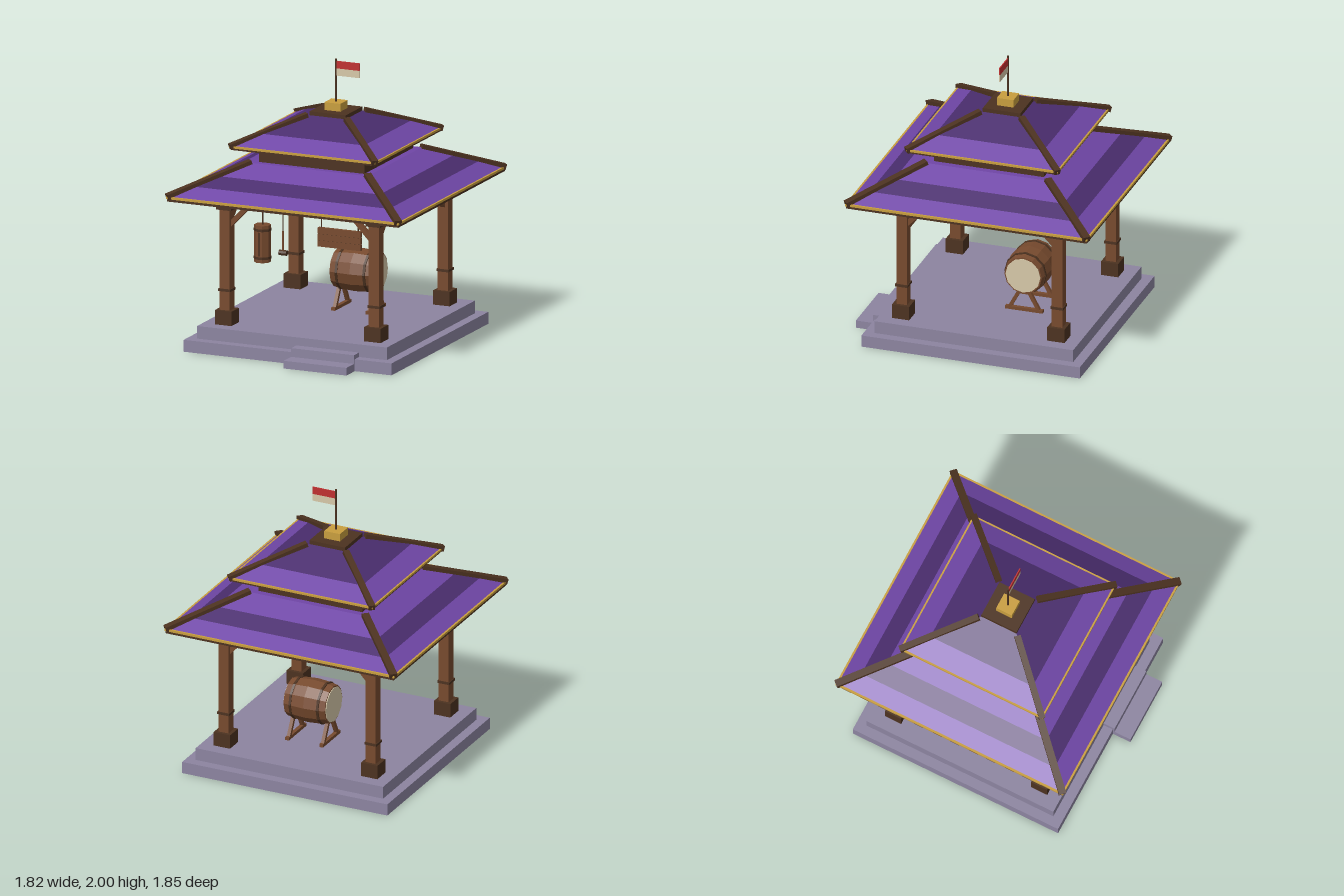
import * as THREE from 'three';

const mat = (name, color, extra = {}) => {
  const m = new THREE.MeshStandardMaterial({ color, ...extra });
  m.name = name;
  return m;
};

export function createModel() {
  const M = {
    stone: mat('stone', 0x8c84a0),
    wood: mat('wood', 0x774a2e),
    dark: mat('darkWood', 0x4c3220),
    light: mat('lightPurpleTiles', 0x6f46a6),
    deep: mat('deepPurpleTiles', 0x4a2d6e),
    gold: mat('gold', 0xc89e3e),
    hide: mat('creamHide', 0xd6c8a8),
    red: mat('red', 0xc03030),
  };
  const root = new THREE.Group();
  root.name = 'pavilion';

  // Helpers
  const add = (name, geo, material, x = 0, y = 0, z = 0, parent = root) => {
    const m = new THREE.Mesh(geo, material);
    m.name = name;
    m.position.set(x, y, z);
    parent.add(m);
    return m;
  };
  // box from centre x/z, bottom y and top y
  const box = (name, material, x, y0, y1, z, w, d, parent = root) =>
    add(name, new THREE.BoxGeometry(w, y1 - y0, d), material, x, (y0 + y1) / 2, z, parent);
  // beam of section w x h between two points
  const strut = (name, material, a, b, w, h, parent = root) => {
    const p = new THREE.Vector3(...a), q = new THREE.Vector3(...b);
    const m = new THREE.Mesh(new THREE.BoxGeometry(w, h, p.distanceTo(q)), material);
    m.name = name;
    m.position.copy(p).add(q).multiplyScalar(0.5);
    m.lookAt(q);
    parent.add(m);
    return m;
  };
  const flat = (geo) => {
    const g = geo.toNonIndexed();
    g.computeVertexNormals();
    return g;
  };
  // square sloped roof band from half-width r0 at y0 to r1 at y1
  const band = (name, material, r0, y0, r1, y1) => {
    const g = new THREE.CylinderGeometry(r1 * Math.SQRT2, r0 * Math.SQRT2, y1 - y0, 4, 1, true);
    g.rotateY(Math.PI / 4);
    add(name, flat(g), material, 0, (y0 + y1) / 2, 0);
  };

  // Platform and steps
  box('lowerPlatform', M.stone, 0, 0, 0.085, 0, 1.59, 1.605);
  box('upperPlatform', M.stone, 0, 0.085, 0.175, 0, 1.452, 1.46);
  box('upperStep', M.stone, 0.274, 0, 0.117, 0.758, 0.48, 0.116);
  box('lowerStep', M.stone, 0.274, 0, 0.055, 0.862, 0.48, 0.156);

  // Columns with feet, rings, capitals and braces
  const P = 0.571;
  for (const sx of [-1, 1]) for (const sz of [-1, 1]) {
    const c = new THREE.Group();
    c.name = 'column';
    root.add(c);
    const x = sx * P, z = sz * P;
    box('columnFoot', M.dark, x, 0.175, 0.277, z, 0.127, 0.127, c);
    box('columnShaft', M.wood, x, 0.277, 1.0, z, 0.078, 0.078, c);
    box('columnRing', M.dark, x, 0.412, 0.43, z, 0.092, 0.092, c);
    box('capital', M.dark, x, 0.997, 1.031, z, 0.112, 0.112, c);
    box('capitalBlock', M.dark, x, 1.031, 1.088, z, 0.1, 0.1, c);
    strut('braceX', M.wood, [x - sx * 0.02, 0.88, z], [x - sx * 0.17, 1.035, z], 0.035, 0.035, c);
    strut('braceZ', M.wood, [x, 0.88, z - sz * 0.02], [x, 1.035, z - sz * 0.17], 0.035, 0.035, c);
  }
  for (const s of [-1, 1]) {
    box('beamX', M.dark, 0, 1.033, 1.086, s * P, 1.276, 0.07);
    box('beamZ', M.dark, s * P, 1.032, 1.085, 0, 0.07, 1.276);
  }

  // Lower roof
  box('lowerSoffit', M.dark, 0, 1.086, 1.104, 0, 1.77, 1.77);
  box('lowerEaveTrim', M.gold, 0, 1.104, 1.12, 0, 1.78, 1.78);
  band('lowerRoofEaveBand', M.light, 0.88, 1.118, 0.755, 1.178);
  band('lowerRoofMiddleBand', M.deep, 0.755, 1.178, 0.622, 1.236);
  band('lowerRoofTopBand', M.light, 0.622, 1.236, 0.45, 1.31);
  box('lowerRoofTop', M.light, 0, 1.3, 1.31, 0, 0.9, 0.9);

  // Clerestory wall
  box('clerestory', M.dark, 0, 1.31, 1.395, 0, 0.806, 0.806);
  box('clerestoryTrim', M.gold, 0, 1.395, 1.408, 0, 0.81, 0.81);
  box('clerestoryTop', M.dark, 0, 1.408, 1.416, 0, 0.79, 0.79);

  // Upper roof
  box('upperSoffit', M.dark, 0, 1.414, 1.428, 0, 1.1, 1.1);
  box('upperEaveTrim', M.gold, 0, 1.428, 1.443, 0, 1.116, 1.116);
  band('upperRoofEaveBand', M.light, 0.55, 1.441, 0.4, 1.513);
  band('upperRoofTopBand', M.deep, 0.4, 1.513, 0.13, 1.615);

  // Hip ridges
  for (const sx of [-1, 1]) for (const sz of [-1, 1]) {
    strut('lowerHipRidge', M.dark, [sx * 0.885, 1.118, sz * 0.885], [sx * 0.445, 1.313, sz * 0.445], 0.052, 0.04);
    strut('upperHipRidge', M.dark, [sx * 0.556, 1.437, sz * 0.556], [sx * 0.15, 1.613, sz * 0.15], 0.045, 0.04);
  }

  // Finial, pole and flag
  box('roofCap', M.dark, 0, 1.608, 1.64, 0, 0.276, 0.276);
  box('finialBlock', M.gold, 0, 1.64, 1.696, 0, 0.122, 0.122);
  add('flagPole', new THREE.CylinderGeometry(0.008, 0.008, 0.304, 8), M.dark, 0, 1.848, 0);
  box('flagUpperHalf', M.red, 0.093, 1.932, 1.985, 0, 0.174, 0.008);
  box('flagLowerHalf', M.hide, 0.093, 1.88, 1.932, 0, 0.174, 0.008);

  // Large barrel drum lying along x
  const drum = new THREE.Group();
  drum.name = 'barrelDrum';
  drum.position.set(0.083, 0.453, -0.195);
  root.add(drum);
  const profile = [[0.138, -0.16], [0.15, -0.09], [0.157, 0], [0.15, 0.09], [0.138, 0.16]]
    .map(([r, h]) => new THREE.Vector2(r, h));
  const shell = new THREE.LatheGeometry([new THREE.Vector2(0, -0.16), ...profile, new THREE.Vector2(0, 0.16)], 12);
  shell.rotateZ(-Math.PI / 2);
  add('drumShell', flat(shell), M.wood, 0, 0, 0, drum);
  for (const s of [-1, 1]) {
    const hoop = new THREE.CylinderGeometry(0.153, 0.153, 0.018, 12).rotateZ(Math.PI / 2);
    add('drumHoop', flat(hoop), M.dark, s * 0.106, 0, 0, drum);
    const head = new THREE.CylinderGeometry(0.128, 0.128, 0.008, 12).rotateZ(Math.PI / 2);
    add('drumHead', flat(head), M.hide, s * 0.161, 0, 0, drum);
    // stand
    box('standFoot', M.wood, s * 0.132, -0.278, -0.255, 0, 0.028, 0.275, drum);
    for (const t of [-1, 1])
      strut('standLeg', M.wood, [s * 0.132, -0.265, t * 0.108], [s * 0.132, -0.12, t * 0.03], 0.025, 0.025, drum);
  }

  // Hanging slit drum
  const slit = new THREE.Group();
  slit.name = 'hangingSlitDrum';
  slit.position.set(-0.298, 0.78, P);
  root.add(slit);
  const tube = (r, h) => flat(new THREE.CylinderGeometry(r, r, h, 8).rotateY(Math.PI / 8));
  add('slitDrumBody', tube(0.06, 0.265), M.wood, 0, 0, 0, slit);
  for (const y of [-0.1, 0.1]) add('slitDrumBand', tube(0.063, 0.018), M.dark, 0, y, 0, slit);
  box('slit', M.dark, 0, -0.085, 0.085, 0.056, 0.014, 0.006, slit);
  add('slitDrumRope', new THREE.CylinderGeometry(0.005, 0.005, 0.13, 6), M.dark, 0, 0.195, 0, slit);

  // Hanging mallet
  add('malletRope', new THREE.CylinderGeometry(0.004, 0.004, 0.16, 6), M.dark, -0.141, 0.955, P);
  add('malletHandle', new THREE.CylinderGeometry(0.008, 0.008, 0.14, 8), M.wood, -0.141, 0.81, P);
  add('malletHead', flat(new THREE.CylinderGeometry(0.02, 0.02, 0.058, 8).rotateZ(Math.PI / 2)), M.dark, -0.141, 0.726, P);

  // Hanging plank board
  for (let i = 0; i < 3; i++)
    box('boardPlank', M.wood, 0.293, 0.803 + i * 0.046, 0.847 + i * 0.046, P, 0.327, 0.026);
  box('boardBacking', M.dark, 0.293, 0.806, 0.938, P, 0.32, 0.02);
  for (const x of [0.153, 0.433])
    add('boardRope', new THREE.CylinderGeometry(0.005, 0.005, 0.1, 6), M.dark, x, 0.985, P);

  root.position.z = -0.015;
  const model = new THREE.Group();
  model.name = 'model';
  model.add(root);
  return model;
}
